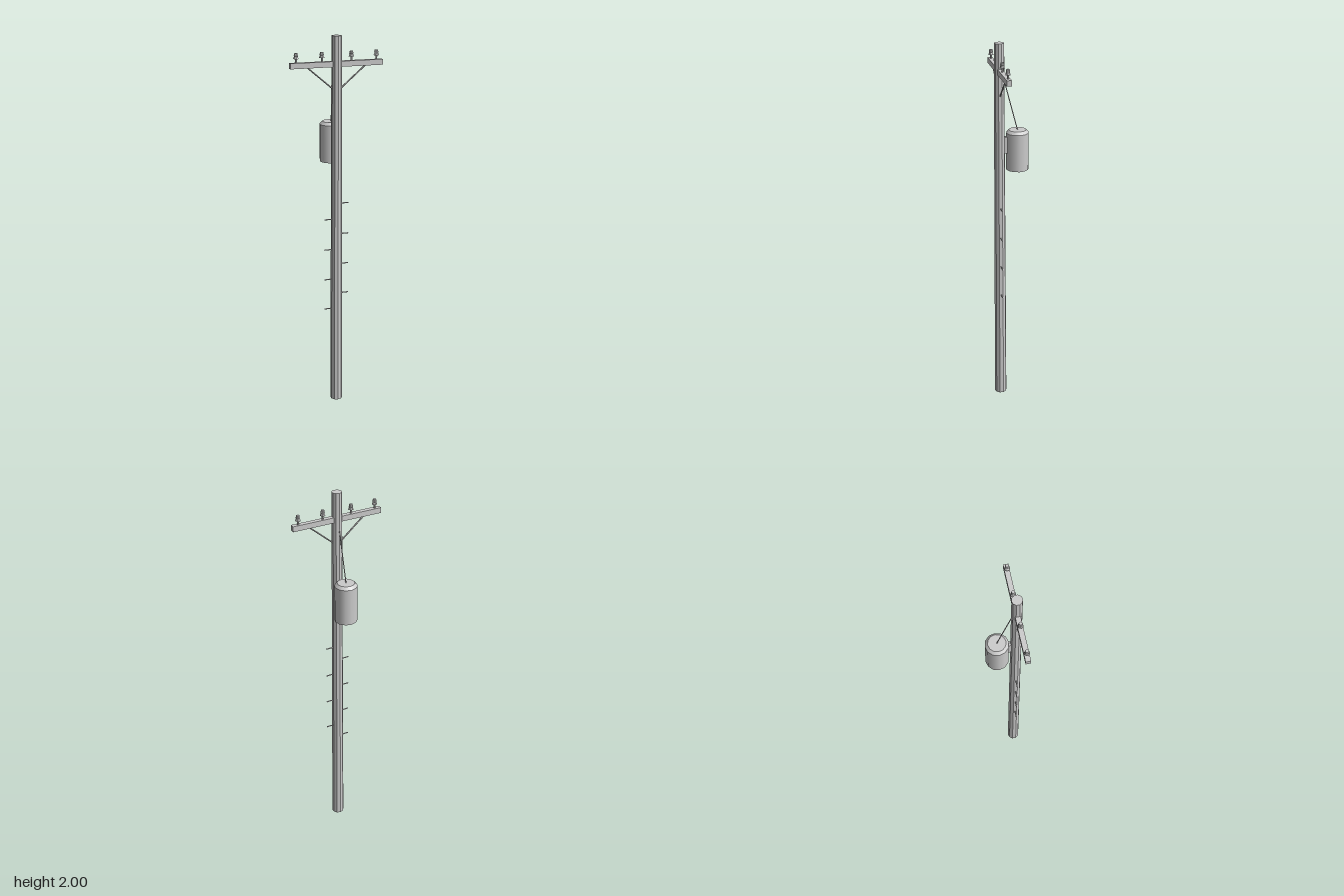
import * as THREE from 'three';

const smooth = new THREE.MeshStandardMaterial({ color: 0xcccccc });
const flat = new THREE.MeshStandardMaterial({ color: 0xcccccc, flatShading: true });
const POLE_Z = 0.059;
const TANK_Z = -0.035;

export function createModel() {
  const model = new THREE.Group();
  model.name = 'utilityPole';

  const add = (name, geometry, x, y, z, material = flat) => {
    const mesh = new THREE.Mesh(geometry, material);
    mesh.name = name;
    mesh.position.set(x, y, z);
    model.add(mesh);
    return mesh;
  };

  // Thin round bar between two points
  const rod = (name, a, b, radius, sides = 6) => {
    const from = new THREE.Vector3(...a);
    const dir = new THREE.Vector3(...b).sub(from);
    const mid = from.clone().addScaledVector(dir, 0.5);
    const bar = add(name, new THREE.CylinderGeometry(radius, radius, dir.length(), sides), mid.x, mid.y, mid.z);
    bar.quaternion.setFromUnitVectors(new THREE.Vector3(0, 1, 0), dir.normalize());
  };

  // Tapered pole
  add('pole', new THREE.CylinderGeometry(0.026, 0.033, 2, 10), 0, 1, POLE_Z);

  // Crossarm and its diagonal braces
  add('crossarm', new THREE.BoxGeometry(0.488, 0.028, 0.025), 0, 1.859, POLE_Z);
  for (const side of [-1, 1]) {
    rod('brace', [side * 0.155, 1.848, POLE_Z], [side * 0.018, 1.732, POLE_Z], 0.004);
  }

  // Insulators: pin, flared skirt and cap
  const profile = [
    [0, 0], [0.005, 0], [0.005, 0.02], [0.0135, 0.021],
    [0.009, 0.034], [0.011, 0.036], [0.008, 0.049], [0, 0.049],
  ].map(([r, y]) => new THREE.Vector2(r, y));
  const insulator = new THREE.LatheGeometry(profile, 10);
  for (const x of [-0.212, -0.078, 0.078, 0.212]) {
    add('insulator', insulator, x, 1.872, POLE_Z);
  }

  // Transformer tank, chamfered lid and mounting bracket
  add('transformerTank', new THREE.CylinderGeometry(0.059, 0.059, 0.197, 12), 0, 1.4365, TANK_Z, smooth);
  add('transformerLid', new THREE.CylinderGeometry(0.045, 0.059, 0.015, 12), 0, 1.5425, TANK_Z, smooth);
  add('mountingBracket', new THREE.BoxGeometry(0.024, 0.085, 0.04), 0, 1.472, 0.025);

  // Lead wire from the crossarm down to the lid
  rod('leadWire', [0, 1.85, 0.044], [0, 1.549, TANK_Z], 0.0025);

  // Climbing steps, alternating sides
  for (let i = 0; i < 8; i++) {
    const side = i % 2 ? 1 : -1;
    const y = 0.54 + i * 0.0842;
    rod('climbingStep', [side * 0.02, y, POLE_Z], [side * 0.066, y, POLE_Z], 0.003);
  }

  return model;
}
